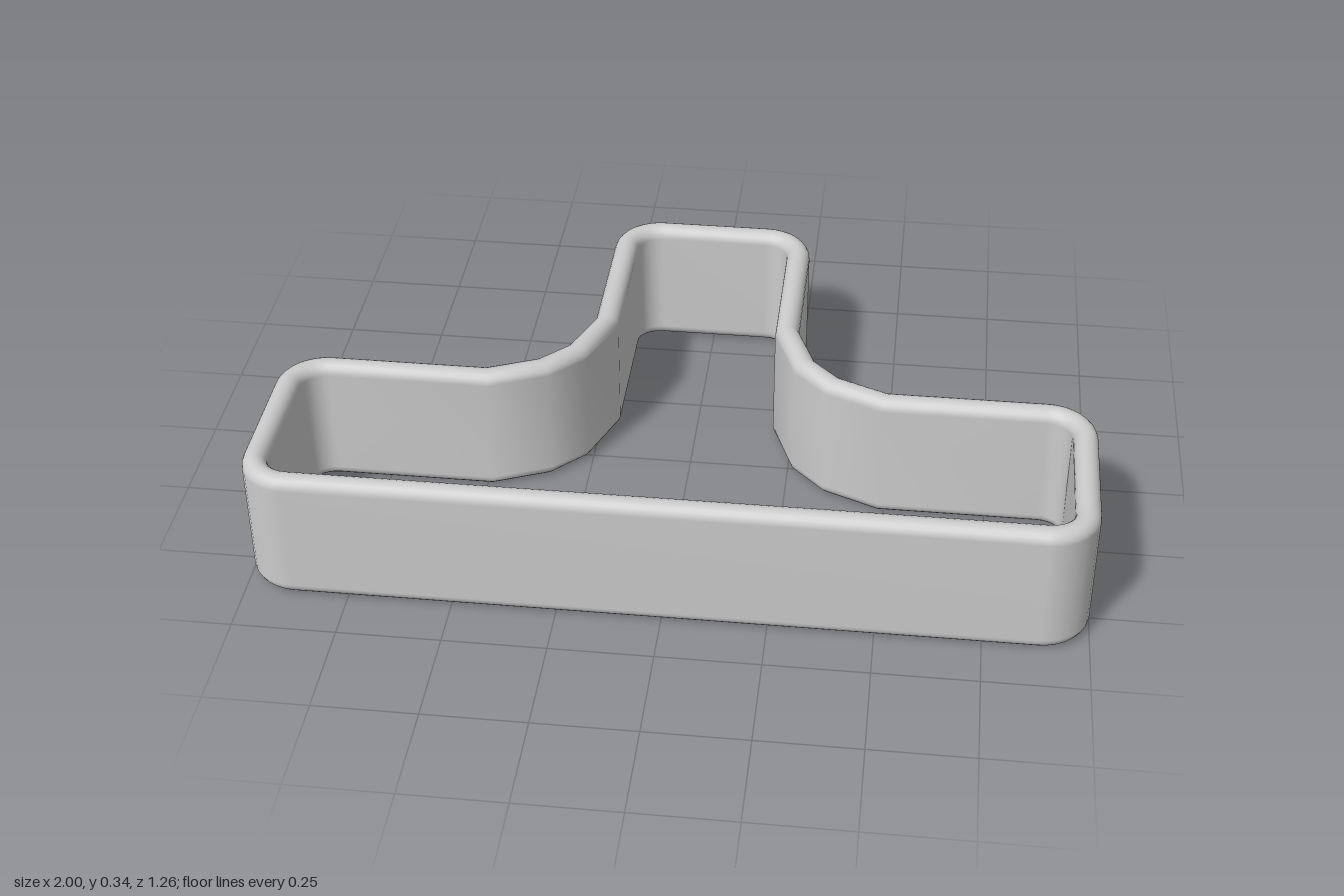
import * as THREE from 'three';

const THICK = 0.06, HEIGHT = 0.34, CORNER = 0.09;

// Points of a rounded corner, swept from angle a0 to a1 around (cx, cz)
function corner(cx, cz, a0, a1, steps = 8) {
  return Array.from({ length: steps + 1 }, (_, i) => {
    const a = a0 + (a1 - a0) * i / steps;
    return new THREE.Vector2(cx + CORNER * Math.cos(a), cz + CORNER * Math.sin(a));
  });
}

// Centre line of the T-shaped wall, seen from above (x, z)
function outline() {
  const q = Math.PI / 2;
  const half = [
    ...corner(0.97 - CORNER, 0.6 - CORNER, q, 0),
    ...corner(0.97 - CORNER, 0.13 + CORNER, 0, -q),
    // coarse concave shoulder between crossbar and stem
    ...[[0.49, 0.13], [0.36, 0.075], [0.286, 0], [0.23, -0.145]].map(p => new THREE.Vector2(...p)),
    ...corner(0.23 - CORNER, -0.6 + CORNER, 0, -q),
  ];
  const mirrored = half.map(p => new THREE.Vector2(-p.x, p.y)).reverse();
  return [...half, ...mirrored];
}

// Upright wall section with fully rounded top and bottom rims (outward, y)
function wallSection() {
  const r = THICK / 2, steps = 10, pts = [];
  for (const [start, cy] of [[0, HEIGHT - r], [Math.PI, r]]) {
    for (let i = 0; i <= steps; i++) {
      const a = start + Math.PI * i / steps;
      pts.push([r * Math.cos(a), cy + r * Math.sin(a)]);
    }
  }
  return pts;
}

// Sweep the section around the closed path with mitred joints
function sweep(path, section) {
  const n = path.length, m = section.length, pos = [], index = [];
  path.forEach((p, i) => {
    const d0 = p.clone().sub(path[(i + n - 1) % n]).normalize();
    const d1 = path[(i + 1) % n].clone().sub(p).normalize();
    const d = d0.clone().add(d1).normalize();
    const miter = 1 / d.dot(d1);
    section.forEach(([u, y], j) => {
      pos.push(p.x - d.y * u * miter, y, p.y + d.x * u * miter);
      const i2 = (i + 1) % n, j2 = (j + 1) % m;
      const a = i * m + j, b = i * m + j2, c = i2 * m + j, e = i2 * m + j2;
      index.push(a, c, b, b, c, e);
    });
  });
  const geo = new THREE.BufferGeometry();
  geo.setAttribute('position', new THREE.Float32BufferAttribute(pos, 3));
  geo.setIndex(index);
  geo.computeVertexNormals();
  return geo;
}

export function createModel() {
  const group = new THREE.Group();
  group.name = 'tShapedFrame';
  const wall = new THREE.Mesh(
    sweep(outline(), wallSection()),
    new THREE.MeshStandardMaterial({ color: 0xcccccc })
  );
  wall.name = 'roundedWall';
  group.add(wall);
  return group;
}
